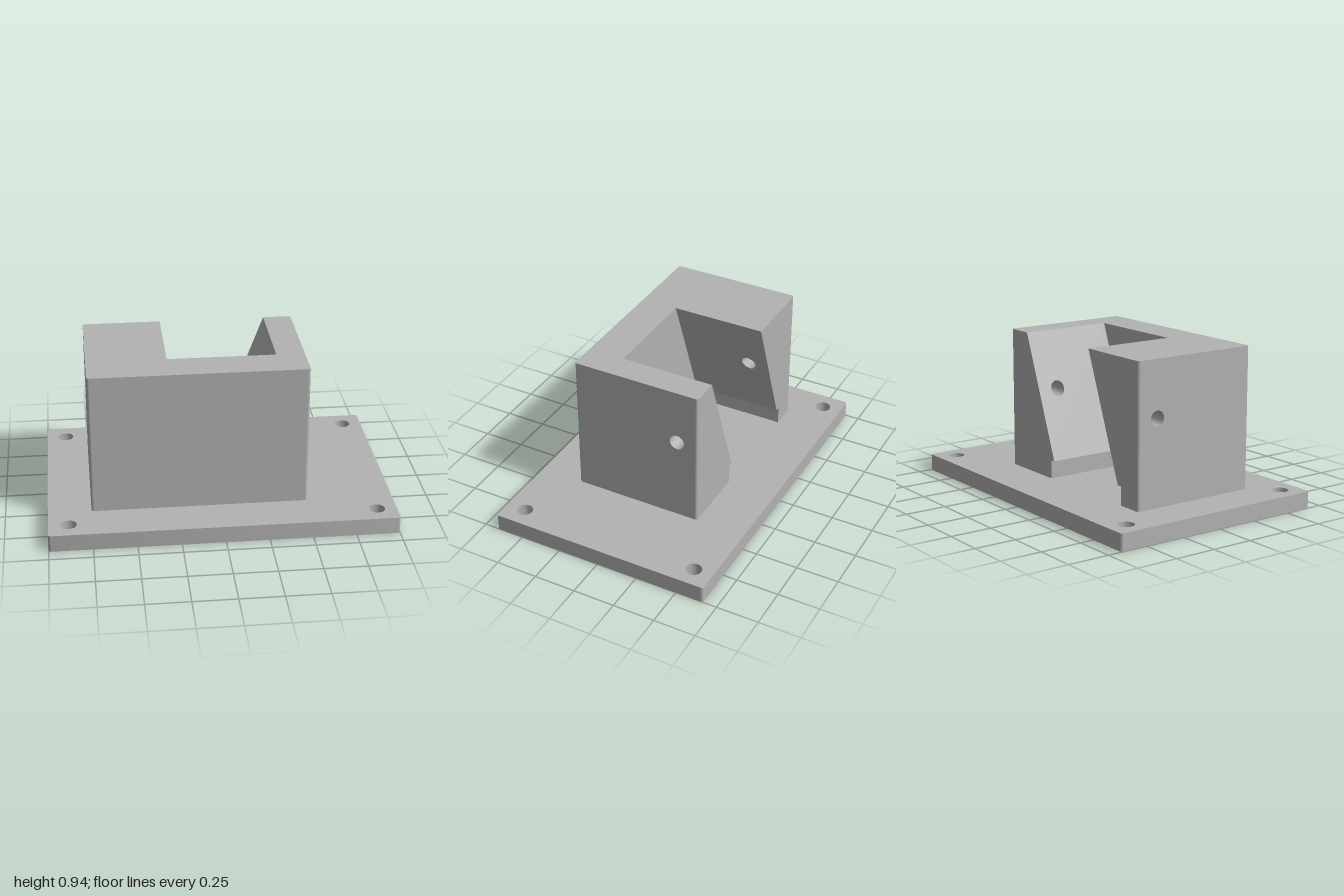
import * as THREE from 'three';
import { toCreasedNormals } from 'three/addons/utils/BufferGeometryUtils.js';

// Main dimensions
const PLATE = 0.1, TOP = 0.935, STEP = 0.21, R = 0.015;
const X0 = -0.75, X1 = 0.5, Z0 = -0.37, Z1 = 0.41;
const SLOT_Z = 0.19, LIP = 0.03;
const PIN = { z: -0.24, y: 0.605, r: 0.045 };

// Both slot walls lean the same way
const SLOPE = 0.275 / (TOP - STEP);
const slotRight = (y) => 0.335 - (TOP - y) * SLOPE;
const slotLeft = (y) => -0.29 - (TOP - y) * SLOPE;
const POCKET_R = slotRight(STEP) + LIP, POCKET_L = slotLeft(STEP) - LIP, POCKET_Z = SLOT_Z + LIP;

// Rectangle with rounded corners and an optional notch in its first edge
function roundedRect(x0, x1, z0, z1, r, notch = []) {
  const s = new THREE.Shape();
  s.moveTo(x0 + r, z0);
  notch.forEach(([x, z]) => s.lineTo(x, z));
  s.lineTo(x1 - r, z0);
  s.absarc(x1 - r, z0 + r, r, -Math.PI / 2, 0);
  s.absarc(x1 - r, z1 - r, r, 0, Math.PI / 2);
  s.absarc(x0 + r, z1 - r, r, Math.PI / 2, Math.PI);
  s.absarc(x0 + r, z0 + r, r, Math.PI, Math.PI * 1.5);
  return s;
}

const poly = (pts) => new THREE.Shape(pts.map(([a, b]) => new THREE.Vector2(a, b)));
const rect = (a0, a1, b0, b1) => poly([[a0, b0], [a1, b0], [a1, b1], [a0, b1]]);

function addHole(shape, x, y, r) {
  shape.holes.push(new THREE.Path().absarc(x, y, r, 0, Math.PI * 2, true));
  return shape;
}

// Flat face: a 2D shape mapped into space, wound to look along "out"
function faceGeometry(shape, map, out) {
  const g = new THREE.ShapeGeometry(shape, 16);
  const p = g.attributes.position;
  for (let i = 0; i < p.count; i++) p.setXYZ(i, ...map(p.getX(i), p.getY(i)));
  g.computeVertexNormals();
  const n = new THREE.Vector3().fromBufferAttribute(g.attributes.normal, 0);
  if (n.dot(new THREE.Vector3(...out)) < 0) {
    g.setIndex(Array.from(g.index.array).reverse());
    g.computeVertexNormals();
  }
  return g;
}

export function createModel() {
  const model = new THREE.Group();
  model.name = 'slottedBracket';
  const grey = new THREE.MeshStandardMaterial({ color: 0xb2b2b2, side: THREE.DoubleSide });
  grey.name = 'plain grey';

  const block = new THREE.Group();
  block.name = 'block';
  model.add(block);
  const add = (name, geometry, parent = block) => {
    const mesh = new THREE.Mesh(geometry, grey);
    mesh.name = name;
    parent.add(mesh);
    return mesh;
  };
  const face = (name, shape, map, out) => add(name, faceGeometry(shape, map, out));

  // Base plate with four screw holes
  const plate = roundedRect(-1, 1, -0.667, 0.667, R);
  for (const x of [-0.884, 0.884]) for (const z of [-0.55, 0.55]) addHole(plate, x, z, 0.047);
  const plateGeo = new THREE.ExtrudeGeometry(plate, { depth: PLATE, bevelEnabled: false, curveSegments: 16 });
  plateGeo.rotateX(Math.PI / 2).translate(0, PLATE, 0);
  add('basePlate', toCreasedNormals(plateGeo, 0.6), model);

  // Top of the block, notched by the slot
  const notch = [[slotLeft(TOP), Z0], [slotLeft(TOP), SLOT_Z], [slotRight(TOP), SLOT_Z], [slotRight(TOP), Z0]];
  face('blockTop', roundedRect(X0, X1, Z0, Z1, R, notch), (x, z) => [x, TOP, z], [0, 1, 0]);

  // Front and rounded upright edges
  face('frontWall', rect(X0 + R, X1 - R, PLATE, TOP), (x, y) => [x, y, Z1], [0, 0, 1]);
  const corners = [[X1 - R, Z1 - R], [X1 - R, Z0 + R], [X0 + R, Z0 + R], [X0 + R, Z1 - R]];
  corners.forEach(([x, z], i) => {
    const g = new THREE.CylinderGeometry(R, R, TOP - PLATE, 6, 1, true, i * Math.PI / 2, Math.PI / 2);
    add('roundedEdge', g.translate(x, (TOP + PLATE) / 2, z));
  });

  // Each side of the slot: outer wall, leaning inner wall, pocket wall, back end and pin hole
  const sides = [
    { name: 'left', outer: X1, inner: slotRight, pocket: POCKET_R, s: 1 },
    { name: 'right', outer: X0, inner: slotLeft, pocket: POCKET_L, s: -1 },
  ];
  for (const { name, outer, inner, pocket, s } of sides) {
    face(name + 'OuterWall', addHole(rect(Z0 + R, Z1 - R, PLATE, TOP), PIN.z, PIN.y, PIN.r),
      (z, y) => [outer, y, z], [s, 0, 0]);
    face(name + 'SlotWall', addHole(rect(Z0, SLOT_Z, STEP, TOP), PIN.z, PIN.y, PIN.r),
      (z, y) => [inner(y), y, z], [-s, 0, 0]);
    face(name + 'PocketWall', rect(Z0, POCKET_Z, PLATE, STEP), (z, y) => [pocket, y, z], [-s, 0, 0]);
    const edge = outer - s * R;
    face(name + 'BackEnd',
      poly([[edge, PLATE], [pocket, PLATE], [pocket, STEP], [inner(STEP), STEP], [inner(TOP), TOP], [edge, TOP]]),
      (x, y) => [x, y, Z0], [0, 0, -1]);

    // Pin hole lining, trimmed to the leaning wall
    const tube = new THREE.CylinderGeometry(PIN.r, PIN.r, 1, 32, 1, true);
    tube.rotateZ(Math.PI / 2).scale(1, 1, -1).translate(0, PIN.y, PIN.z);
    const p = tube.attributes.position;
    for (let i = 0; i < p.count; i++) p.setX(i, p.getX(i) * s > 0 ? outer : inner(p.getY(i)));
    // Mirrored winding makes the lining face inward
    const idx = Array.from(tube.index.array);
    tube.setIndex(idx.reverse());
    tube.setIndex(idx.reverse());
    tube.computeVertexNormals();
    add(name + 'PinHole', tube);
  }

  // Closed end of the slot and of the wider pocket below it
  face('slotEnd',
    poly([[slotLeft(STEP), STEP], [slotRight(STEP), STEP], [slotRight(TOP), TOP], [slotLeft(TOP), TOP]]),
    (x, y) => [x, y, SLOT_Z], [0, 0, -1]);
  face('pocketEnd', rect(POCKET_L, POCKET_R, PLATE, STEP), (x, y) => [x, y, POCKET_Z], [0, 0, -1]);
  const a = slotLeft(STEP), b = slotRight(STEP);
  face('pocketCeiling',
    poly([[POCKET_L, Z0], [a, Z0], [a, SLOT_Z], [b, SLOT_Z], [b, Z0], [POCKET_R, Z0], [POCKET_R, POCKET_Z], [POCKET_L, POCKET_Z]]),
    (x, z) => [x, STEP, z], [0, -1, 0]);

  return model;
}
